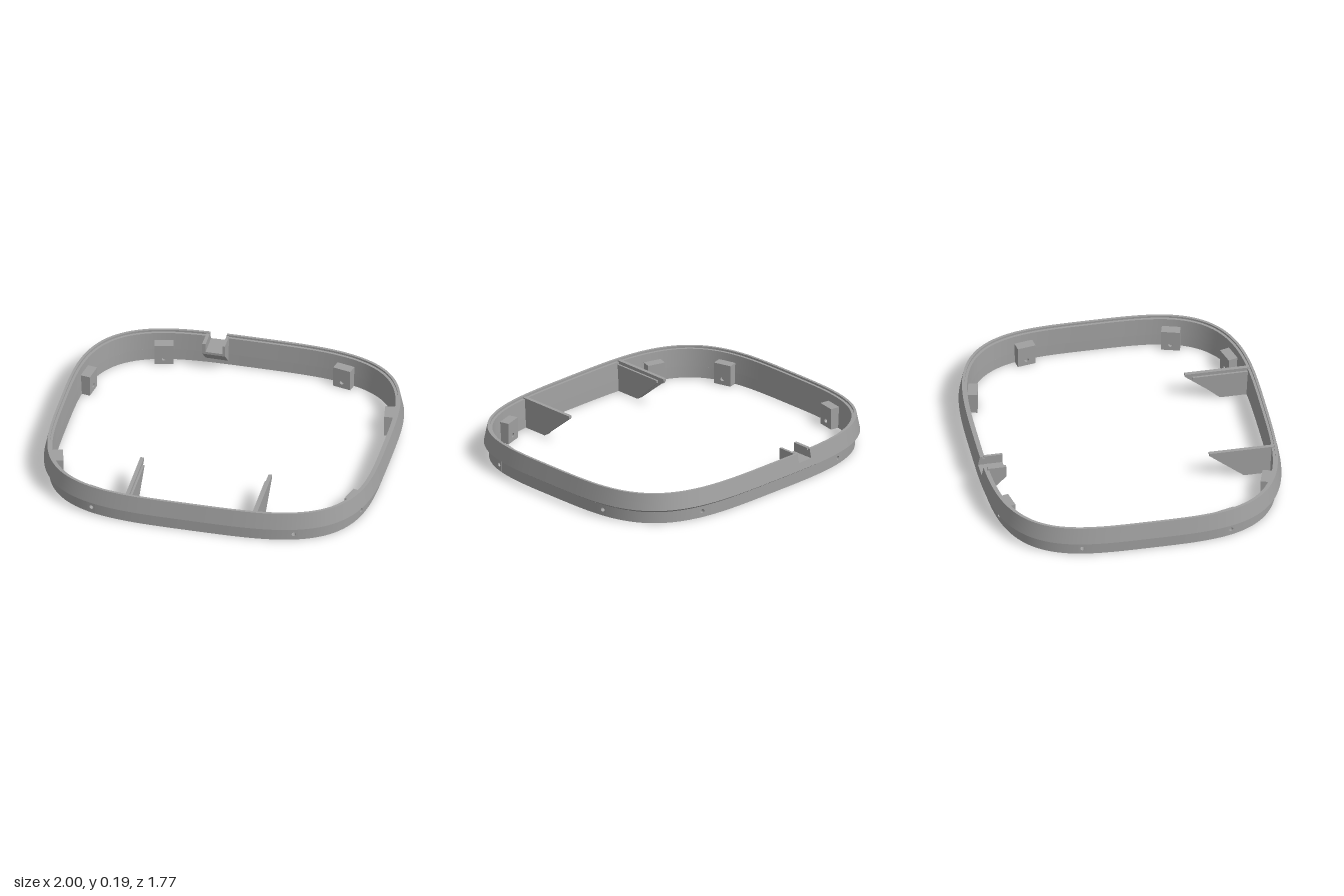
import * as THREE from 'three';
import { toCreasedNormals } from 'three/addons/utils/BufferGeometryUtils.js';

const A = 1, B = 0.885, POWER = 3.5;

// Point and outward normal on the rounded-square outline at a polar angle
function outline(t) {
  const c = Math.cos(t), s = Math.sin(t);
  const r = Math.pow(Math.pow(Math.abs(c / A), POWER) + Math.pow(Math.abs(s / B), POWER), -1 / POWER);
  const x = r * c, z = r * s;
  let nx = Math.sign(x) * Math.pow(Math.abs(x / A), POWER - 1) / A;
  let nz = Math.sign(z) * Math.pow(Math.abs(z / B), POWER - 1) / B;
  const l = Math.hypot(nx, nz);
  return { x, z, nx: nx / l, nz: nz / l, r };
}

// Sweep a closed section of [inset, height] pairs along part of the outline, with end caps
function sweep(section, t0, t1) {
  const steps = Math.max(2, Math.ceil((t1 - t0) / 0.03));
  const n = section.length, pos = [], idx = [];
  for (let i = 0; i <= steps; i++) {
    const p = outline(t0 + (t1 - t0) * i / steps);
    for (const [d, y] of section) pos.push(p.x - p.nx * d, y, p.z - p.nz * d);
  }
  for (let i = 0; i < steps; i++) {
    for (let j = 0; j < n; j++) {
      const a = i * n + j, b = i * n + (j + 1) % n;
      idx.push(a, b, a + n, b, b + n, a + n);
    }
  }
  const caps = THREE.ShapeUtils.triangulateShape(section.map(([d, y]) => new THREE.Vector2(-d, y)), []);
  const last = steps * n;
  for (const [a, b, c] of caps) idx.push(a, c, b, last + a, last + b, last + c);
  const g = new THREE.BufferGeometry();
  g.setAttribute('position', new THREE.Float32BufferAttribute(pos, 3));
  g.setIndex(idx);
  return toCreasedNormals(g, 0.3);
}

const toShape = pts => new THREE.Shape(pts.map(([x, y]) => new THREE.Vector2(x, y)));

function extrude(shape, depth) {
  return new THREE.ExtrudeGeometry(shape, { depth, bevelEnabled: false, curveSegments: 10 });
}

// Plate with a [z, y] outline, spanning x0 to x1
function sidePlate(pts, x0, x1) {
  return extrude(toShape(pts), x1 - x0).rotateY(-Math.PI / 2).translate(x1, 0, 0);
}

// Upright rectangle with a screw hole
function drilled(width, height) {
  const w = width / 2;
  const s = toShape([[-w, 0], [w, 0], [w, height], [-w, height]]);
  s.holes.push(new THREE.Path().absarc(0, 0.037, 0.013, 0, Math.PI * 2, true));
  return s;
}

export function createModel() {
  const model = new THREE.Group();
  const grey = new THREE.MeshStandardMaterial({ color: 0xa0a0a0, side: THREE.DoubleSide });
  grey.name = 'grey';
  const add = (name, geometry, parent = model) => {
    const m = new THREE.Mesh(geometry, grey);
    m.name = name;
    parent.add(m);
    return m;
  };

  // Flared upper rim, interrupted by a notch at the back
  const n0 = Math.atan2(-0.875, -0.28), n1 = Math.atan2(-0.875, -0.18);
  add('upperRim', sweep([[0.03, 0.07], [0, 0.09], [0.02, 0.19], [0.035, 0.19],
    [0.035, 0.178], [0.05, 0.178], [0.057, 0.07]], n1, n0 + Math.PI * 2));
  add('rimBelowNotch', sweep([[0.03, 0.07], [0, 0.09], [0.009, 0.135], [0.053, 0.135], [0.057, 0.07]], n0, n1));

  // Screw positions around the lower band
  const screws = [];
  for (const s of [-1, 1]) {
    for (const [x, z] of [[0.6, 0.817], [0.54, -0.827], [0.94, 0.48], [0.94, -0.39]]) {
      screws.push(Math.atan2(z, x * s));
    }
  }
  screws.sort((a, b) => a - b);

  // Lower band between the drilled pieces
  const band = [[0.03, 0], [0.03, 0.07], [0.057, 0.07], [0.06, 0]];
  screws.forEach((t, i) => {
    const next = i + 1 < screws.length ? screws[i + 1] : screws[0] + Math.PI * 2;
    add('lowerBand', sweep(band, t + 0.022 / outline(t).r, next - 0.022 / outline(next).r));
  });

  // Drilled band pieces and mounting blocks with a nut slot open underneath
  const slotted = toShape([[-0.055, 0], [-0.03, 0], [-0.03, 0.065], [0.03, 0.065],
    [0.03, 0], [0.055, 0], [0.055, 0.13], [-0.055, 0.13]]);
  for (const t of screws) {
    const p = outline(t);
    const mount = new THREE.Group();
    mount.name = 'screwMount';
    mount.position.set(p.x, 0, p.z);
    mount.rotation.y = Math.atan2(p.nx, p.nz);
    add('drilledBand', extrude(drilled(0.05, 0.07), 0.029).translate(0, 0, -0.059), mount);
    add('blockOuter', extrude(drilled(0.11, 0.13), 0.02).translate(0, 0, -0.074), mount);
    add('blockSlot', extrude(slotted, 0.02).translate(0, 0, -0.094), mount);
    add('blockInner', extrude(drilled(0.11, 0.13), 0.018).translate(0, 0, -0.112), mount);
    model.add(mount);
  }

  // Channel bracket behind the notch
  const channel = top => [[-0.84, top], [-0.73, top], [-0.73, 0.12], [-0.83, 0.02], [-0.84, 0.02]];
  add('channelFloor', sidePlate(channel(0.135), -0.28, -0.18));
  add('channelSide', sidePlate(channel(0.19), -0.3, -0.28));
  add('channelSide', sidePlate(channel(0.19), -0.18, -0.165));

  // Pair of gusset arms at the front, each a long plate with a shorter inner one
  const arm = (tip, top) => [[0.84, 0], [0.84, top], [tip, top], [tip, top - 0.015], [0.66, 0]];
  for (const s of [-1, 1]) {
    const plate = (a, b, pts) => sidePlate(pts, Math.min(a * s, b * s), Math.max(a * s, b * s));
    add('gussetArm', plate(0.372, 0.394, arm(0.455, 0.185)));
    add('gussetRib', plate(0.36, 0.372, arm(0.5, 0.165)));
  }
  return model;
}
